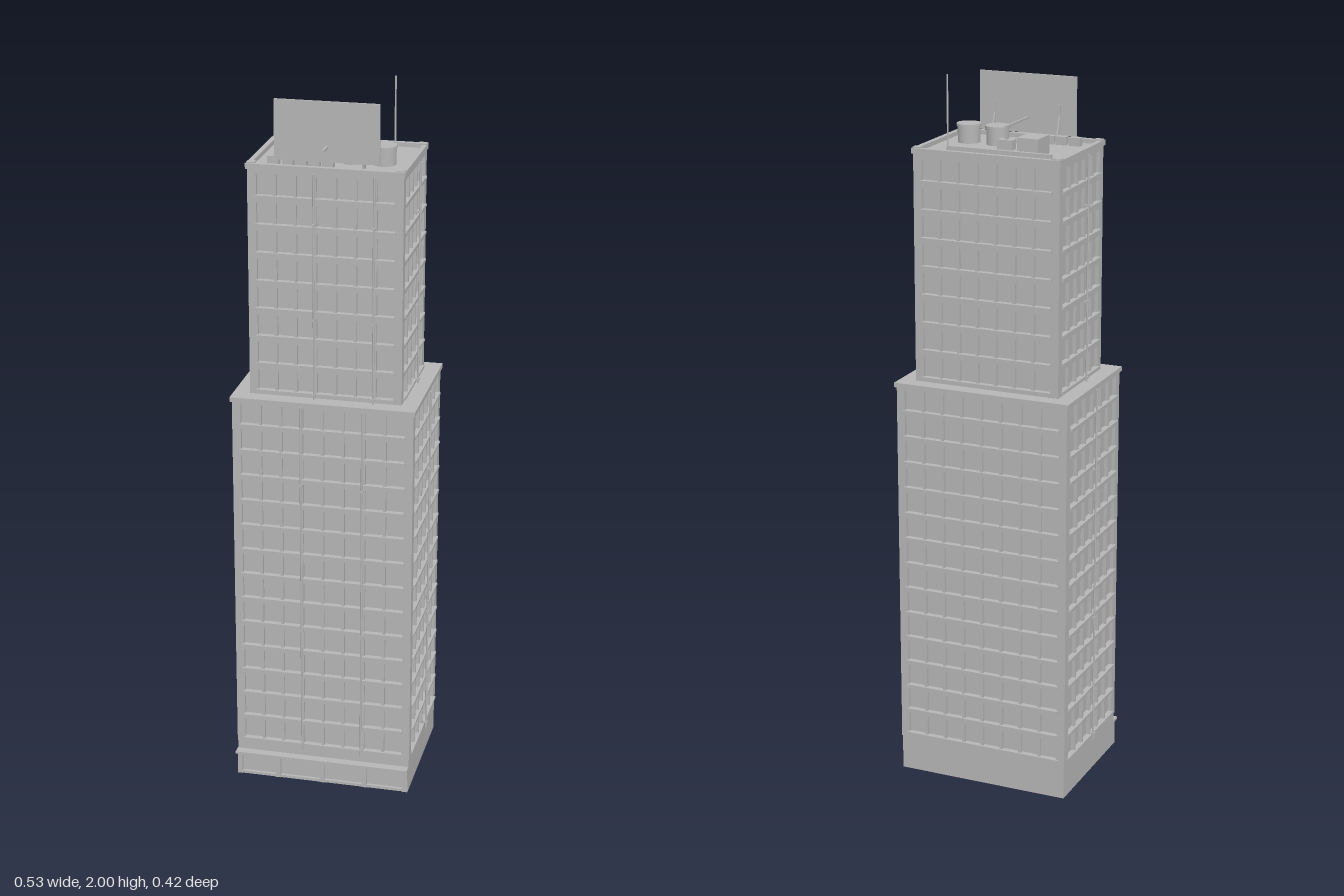
import * as THREE from 'three';

export function createModel() {
  const model = new THREE.Group();
  model.name = 'tower';
  const concrete = new THREE.MeshStandardMaterial({ color: 0xb6b6b6 });
  concrete.name = 'concrete grey';

  function add(name, geometry, parent = model) {
    const mesh = new THREE.Mesh(geometry, concrete);
    mesh.name = name;
    parent.add(mesh);
    return mesh;
  }
  // box from its limits on each axis
  function box(name, x0, x1, y0, y1, z0, z1, parent) {
    const m = add(name, new THREE.BoxGeometry(x1 - x0, y1 - y0, z1 - z0), parent);
    m.position.set((x0 + x1) / 2, (y0 + y1) / 2, (z0 + z1) / 2);
    return m;
  }
  function cylinder(name, r, y0, y1, x, z, sides = 24) {
    const m = add(name, new THREE.CylinderGeometry(r, r, y1 - y0, sides), model);
    m.position.set(x, (y0 + y1) / 2, z);
    return m;
  }
  function rect(path, x0, x1, y0, y1) {
    path.moveTo(x0, y0);
    path.lineTo(x1, y0);
    path.lineTo(x1, y1);
    path.lineTo(x0, y1);
    path.closePath();
    return path;
  }

  const DEPTH = 0.01; // window recess

  // perforated wall with sills; outer face lies on local z = 0
  function facade(name, width, cols, colPitch, t) {
    const g = new THREE.Group();
    g.name = name;
    const wall = rect(new THREE.Shape(), -width / 2, width / 2, t.y0, t.y1);
    const field = (cols * colPitch) / 2;
    for (let r = 0; r < t.rows; r++) {
      const y = t.firstRow + r * t.rowPitch;
      for (let c = 0; c < cols; c++) {
        const x = -field + (c + 0.5) * colPitch;
        const hw = colPitch / 2 - 0.004;
        wall.holes.push(rect(new THREE.Path(), x - hw, x + hw, y - 0.029, y + 0.029));
      }
      box('windowSill', -field, field, y - 0.036, y - 0.029, -0.004, 0.006, g);
    }
    const m = add('windowWall', new THREE.ExtrudeGeometry(wall, { depth: DEPTH, bevelEnabled: false }), g);
    m.position.z = -DEPTH;
    return g;
  }

  function tier(name, t) {
    const g = new THREE.Group();
    g.name = name;
    model.add(g);
    const zc = (t.z0 + t.z1) / 2, d = t.z1 - t.z0;
    box('core', -t.x + DEPTH, t.x - DEPTH, t.y0, t.coreTop, t.z0 + DEPTH, t.z1 - DEPTH, g);
    for (let i = 0; i < 4; i++) {
      const side = i % 2 === 1;
      const f = side
        ? facade('sideFacade', d - 2 * DEPTH, t.sideCols, t.sidePitch, t)
        : facade(i ? 'backFacade' : 'frontFacade', 2 * t.x, t.frontCols, t.frontPitch, t);
      f.rotation.y = (i * Math.PI) / 2;
      f.position.set([0, t.x, 0, -t.x][i], 0, [t.z1, zc, t.z0, zc][i]);
      g.add(f);
    }
  }

  // street level with shopfront
  box('base', -0.25, 0.25, 0, 0.1, -0.202, 0.182);
  box('canopy', -0.252, 0.25, 0.07, 0.077, 0.18, 0.207);
  box('shopPlinth', -0.25, 0.25, 0, 0.008, 0.18, 0.19);
  for (const x of [-0.243, -0.13, 0, 0.123, 0.242])
    box('shopPier', x - 0.007, x + 0.007, 0, 0.07, 0.18, 0.192);

  // lower and upper shafts
  tier('lowerTier', {
    x: 0.252, z0: -0.203, z1: 0.182, y0: 0.1, y1: 1.15, coreTop: 1.15,
    rows: 14, firstRow: 0.1455, rowPitch: 0.0745,
    frontCols: 8, frontPitch: 0.058, sideCols: 6, sidePitch: 0.0567,
  });
  box('lowerCornice', -0.257, 0.257, 1.148, 1.161, -0.208, 0.187);
  tier('upperTier', {
    x: 0.211, z0: -0.166, z1: 0.142, y0: 1.16, y1: 1.8, coreTop: 1.795,
    rows: 8, firstRow: 1.204, rowPitch: 0.0781,
    frontCols: 7, frontPitch: 0.0545, sideCols: 5, sidePitch: 0.053,
  });

  // parapet ring and corner blocks
  const rim = rect(new THREE.Shape(), -0.215, 0.215, -0.147, 0.17);
  rim.holes.push(rect(new THREE.Path(), -0.201, 0.201, -0.133, 0.156));
  const parapet = add('parapet', new THREE.ExtrudeGeometry(rim, { depth: 0.015, bevelEnabled: false }));
  parapet.rotation.x = -Math.PI / 2;
  parapet.position.y = 1.792;
  for (const x of [-0.202, 0.202])
    for (const z of [-0.155, 0.132])
      box('parapetCorner', x - 0.011, x + 0.011, 1.79, 1.81, z - 0.01, z + 0.01);

  // drainpipes: [x, z, bottom, top, outward x, outward z]
  const pipes = [
    [-0.058, 0.191, 0.1, 1.15, 0, 1], [0.113, 0.191, 0.1, 1.15, 0, 1],
    [0.262, -0.012, 0.1, 1.15, 1, 0], [-0.262, -0.012, 0.1, 1.15, -1, 0],
    [-0.029, 0.151, 1.16, 1.79, 0, 1], [0.134, 0.151, 1.16, 1.79, 0, 1],
    [0.22, -0.038, 1.16, 1.79, 1, 0], [-0.22, 0.015, 1.16, 1.79, -1, 0],
  ];
  for (const [x, z, y0, y1, ox, oz] of pipes) {
    cylinder('drainpipe', 0.003, y0, y1, x, z, 8);
    for (const k of [0.02, 0.36, 0.78]) {
      const y = y0 + (y1 - y0) * k;
      const bx = x - ox * 0.002, bz = z - oz * 0.002;
      const hx = ox ? 0.007 : 0.004, hz = oz ? 0.007 : 0.004;
      box('pipeBracket', bx - hx, bx + hx, y - 0.003, y + 0.003, bz - hz, bz + hz);
    }
  }

  // billboard with rear struts
  box('billboard', -0.143, 0.141, 1.815, 1.977, 0.112, 0.118);
  for (const x of [-0.096, 0.095]) {
    box('billboardPost', x - 0.002, x + 0.002, 1.79, 1.9, 0.108, 0.113);
    const strut = add('billboardStrut', new THREE.BoxGeometry(0.004, 0.085, 0.004));
    strut.position.set(x, 1.832, 0.097);
    strut.rotation.x = 0.36;
  }

  // rooftop equipment
  for (const x of [-0.151, -0.111, -0.076, -0.04, -0.003])
    box('ventBox', x - 0.0155, x + 0.0155, 1.79, 1.818, 0.081, 0.1);
  for (const x of [0.05, 0.135]) {
    cylinder('waterTank', 0.031, 1.79, 1.843, x, 0.026);
    cylinder('tankLid', 0.034, 1.84, 1.847, x, 0.026);
  }
  box('coolingUnit', -0.125, -0.064, 1.79, 1.845, -0.106, -0.029);
  box('coolingVent', -0.106, -0.084, 1.805, 1.83, -0.03, -0.027);
  box('roofDuct', -0.171, 0.127, 1.79, 1.812, -0.128, -0.117);
  box('davitBase', -0.022, 0.022, 1.79, 1.822, -0.041, -0.014);
  box('davitMast', -0.004, 0.004, 1.82, 1.858, -0.032, -0.024);
  box('davitArm', -0.003, 0.003, 1.853, 1.859, -0.032, 0.165);
  box('antennaFoot', 0.131, 0.139, 1.79, 1.805, -0.114, -0.106);
  cylinder('antenna', 0.0025, 1.79, 2, 0.135, -0.11, 8);

  return model;
}
